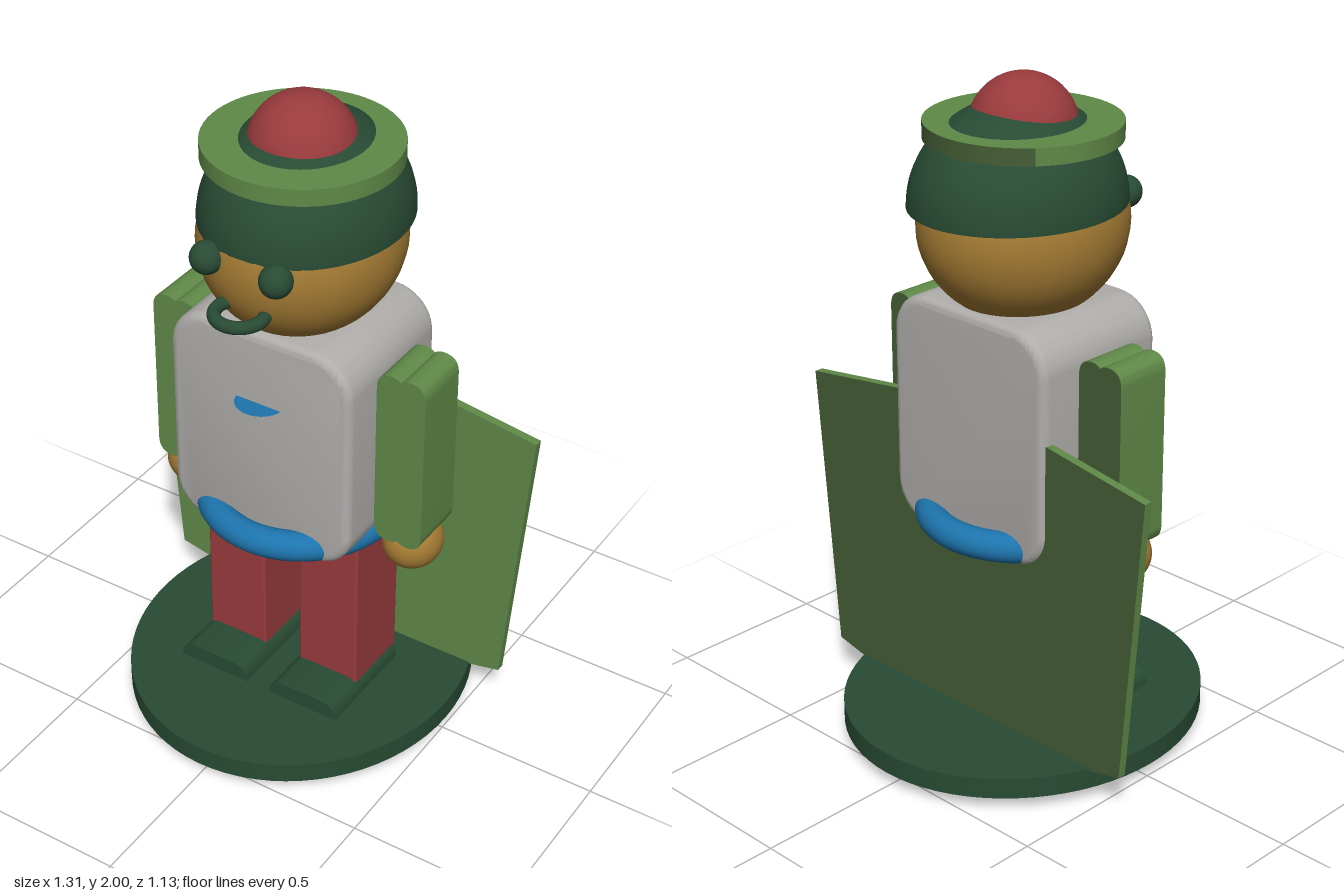
import * as THREE from 'three';
import { toCreasedNormals } from 'three/addons/utils/BufferGeometryUtils.js';
import { RoundedBoxGeometry } from 'three/addons/geometries/RoundedBoxGeometry.js';

function material(name, color) {
  const m = new THREE.MeshStandardMaterial({ color });
  m.name = name;
  return m;
}

// Extrusion along z, centred on z = 0, with an optional bevel inside the given depth
function extrude(shape, depth, bevel = 0) {
  const geo = new THREE.ExtrudeGeometry(shape, {
    depth: depth - 2 * bevel, curveSegments: 10,
    bevelEnabled: bevel > 0, bevelSize: bevel, bevelThickness: bevel,
    bevelOffset: -bevel, bevelSegments: 4,
  });
  geo.translate(0, 0, bevel - depth / 2);
  geo.clearGroups();
  return toCreasedNormals(geo, 0.6);
}

// Puts faces that look backwards (-z) in material slot 1, all others in slot 0
function splitBack(source) {
  const geo = source.index ? source.toNonIndexed() : source;
  const pos = geo.attributes.position;
  const tri = new THREE.Triangle(), n = new THREE.Vector3();
  geo.clearGroups();
  for (let i = 0; i < pos.count; i += 3) {
    tri.setFromAttributeAndIndices(pos, i, i + 1, i + 2).getNormal(n);
    const slot = n.z < -0.61 ? 1 : 0;
    const last = geo.groups[geo.groups.length - 1];
    if (last && last.materialIndex === slot) last.count += 3;
    else geo.addGroup(i, 3, slot);
  }
  return geo;
}

function roundedRect(x0, y0, x1, y1, r) {
  const s = new THREE.Shape();
  s.absarc(x1 - r, y1 - r, r, 0, Math.PI / 2);
  s.absarc(x0 + r, y1 - r, r, Math.PI / 2, Math.PI);
  s.absarc(x0 + r, y0 + r, r, Math.PI, Math.PI * 1.5);
  s.absarc(x1 - r, y0 + r, r, Math.PI * 1.5, Math.PI * 2);
  s.closePath();
  return s;
}

// Arm outline: rounded corners and a narrow shallow notch at each end
function armShape() {
  const s = new THREE.Shape(), w = 0.077, h = 0.283;
  s.moveTo(w, -h + 0.05);
  s.lineTo(w, h - 0.05);
  s.quadraticCurveTo(w, h, 0.03, h);
  s.quadraticCurveTo(0.01, h, 0, h - 0.011);
  s.quadraticCurveTo(-0.01, h, -0.03, h);
  s.quadraticCurveTo(-w, h, -w, h - 0.05);
  s.lineTo(-w, -h + 0.05);
  s.quadraticCurveTo(-w, -h, -0.03, -h);
  s.quadraticCurveTo(-0.01, -h, 0, -h + 0.011);
  s.quadraticCurveTo(0.01, -h, 0.03, -h);
  s.quadraticCurveTo(w, -h, w, -h + 0.05);
  return s;
}

// Shoe cross-section: flat top with rounded shoulders
function shoeShape() {
  const s = new THREE.Shape();
  s.moveTo(-0.118, 0);
  s.lineTo(0.118, 0);
  s.lineTo(0.118, 0.05);
  s.quadraticCurveTo(0.108, 0.095, 0.07, 0.095);
  s.lineTo(-0.07, 0.095);
  s.quadraticCurveTo(-0.108, 0.095, -0.118, 0.05);
  s.closePath();
  return s;
}

export function createModel() {
  const darkGreen = material('dark green', 0x284b34);
  const lightGreen = material('light green', 0x608a48);
  const oliveGreen = material('olive green', 0x455e35);
  const gold = material('gold', 0xa57c34);
  const red = material('red', 0x9a3b3d);
  const grey = material('grey', 0xb0aeab);
  const blue = material('blue', 0x1d74ad);
  const greens = [lightGreen, oliveGreen];
  blue.side = THREE.DoubleSide;
  darkGreen.side = THREE.DoubleSide;

  const model = new THREE.Group();
  model.name = 'figurine';
  const add = (name, geo, mat, x, y, z) => {
    const mesh = new THREE.Mesh(geo, mat);
    mesh.name = name;
    mesh.position.set(x, y, z);
    model.add(mesh);
    return mesh;
  };
  const ball = (name, mat, x, y, z, rx, ry = rx, rz = rx) => {
    const mesh = add(name, new THREE.SphereGeometry(1, 40, 28), mat, x, y, z);
    mesh.scale.set(rx, ry, rz);
    return mesh;
  };

  // Oval stand
  add('base', new THREE.CylinderGeometry(1, 1, 0.064, 72), darkGreen, 0, 0.077, 0).scale.set(0.51, 1, 0.563);

  // Flat cape behind the body, darker at the back
  const cape = new THREE.Shape([
    [0, 0], [0.58, 0.125], [0.655, 1], [0, 1.095], [-0.655, 1], [-0.58, 0.125],
  ].map(([x, y]) => new THREE.Vector2(x, y)));
  add('cape', splitBack(extrude(cape, 0.026)), greens, 0, 0, -0.203);

  // Body, belt and chest plate
  add('torso', extrude(roundedRect(-0.297, 0.655, 0.297, 1.365, 0.125), 0.455, 0.025), grey, 0, 0, 0);
  const belt = add('belt', new THREE.TorusGeometry(0.274, 0.045, 20, 64), blue, 0, 0.701, 0);
  belt.rotation.x = Math.PI / 2;
  belt.scale.x = 0.98;
  const plate = add('chestPlate', new THREE.CircleGeometry(1, 32), blue, 0, 1.14, 0.222);
  plate.rotation.x = -Math.PI / 2;
  plate.scale.set(0.073, 0.065, 1);

  // Paired limbs
  for (const side of [1, -1]) {
    const pre = side > 0 ? 'left' : 'right';
    add(pre + 'Arm', splitBack(extrude(armShape(), 0.18)), greens, side * 0.375, 0.996, 0);
    ball(pre + 'Hand', gold, side * 0.377, 0.678, 0, 0.088, 0.087, 0.096);
    add(pre + 'Leg', new RoundedBoxGeometry(0.2, 0.65, 0.232, 2, 0.008), red, side * 0.161, 0.378, 0);
    add(pre + 'Shoe', extrude(shoeShape(), 0.35), darkGreen, side * 0.158, 0.066, 0.075);
    ball(pre + 'Eye', darkGreen, side * 0.11, 1.616, 0.3, 0.047);
    // Ends of the legs showing under the stand
    add(pre + 'OuterLegEnd', new THREE.BoxGeometry(0.035, 0.006, 0.22), red, side * 0.226, 0.044, 0);
    add(pre + 'InnerLegEnd', new THREE.BoxGeometry(0.01, 0.006, 0.22), red, side * 0.112, 0.044, 0);
  }

  // Head and mouth
  ball('head', gold, 0, 1.58, 0, 0.285, 0.28, 0.313);
  const mouth = add('mouth', new THREE.TorusGeometry(0.069, 0.019, 16, 48), darkGreen, 0, 1.482, 0.31);
  mouth.rotation.x = Math.PI / 2;

  // Open cap dome, brim (darker at the back) and bobble
  const dome = add('cap', new THREE.SphereGeometry(1, 48, 20, 0, Math.PI * 2, 0, Math.PI / 2), darkGreen, 0, 1.639, -0.021);
  dome.scale.set(0.291, 0.293, 0.325);
  add('brim', splitBack(new THREE.CylinderGeometry(0.278, 0.278, 0.05, 64)), greens, 0, 1.846, 0);
  ball('bobble', red, 0, 1.845, 0, 0.155);

  return model;
}
